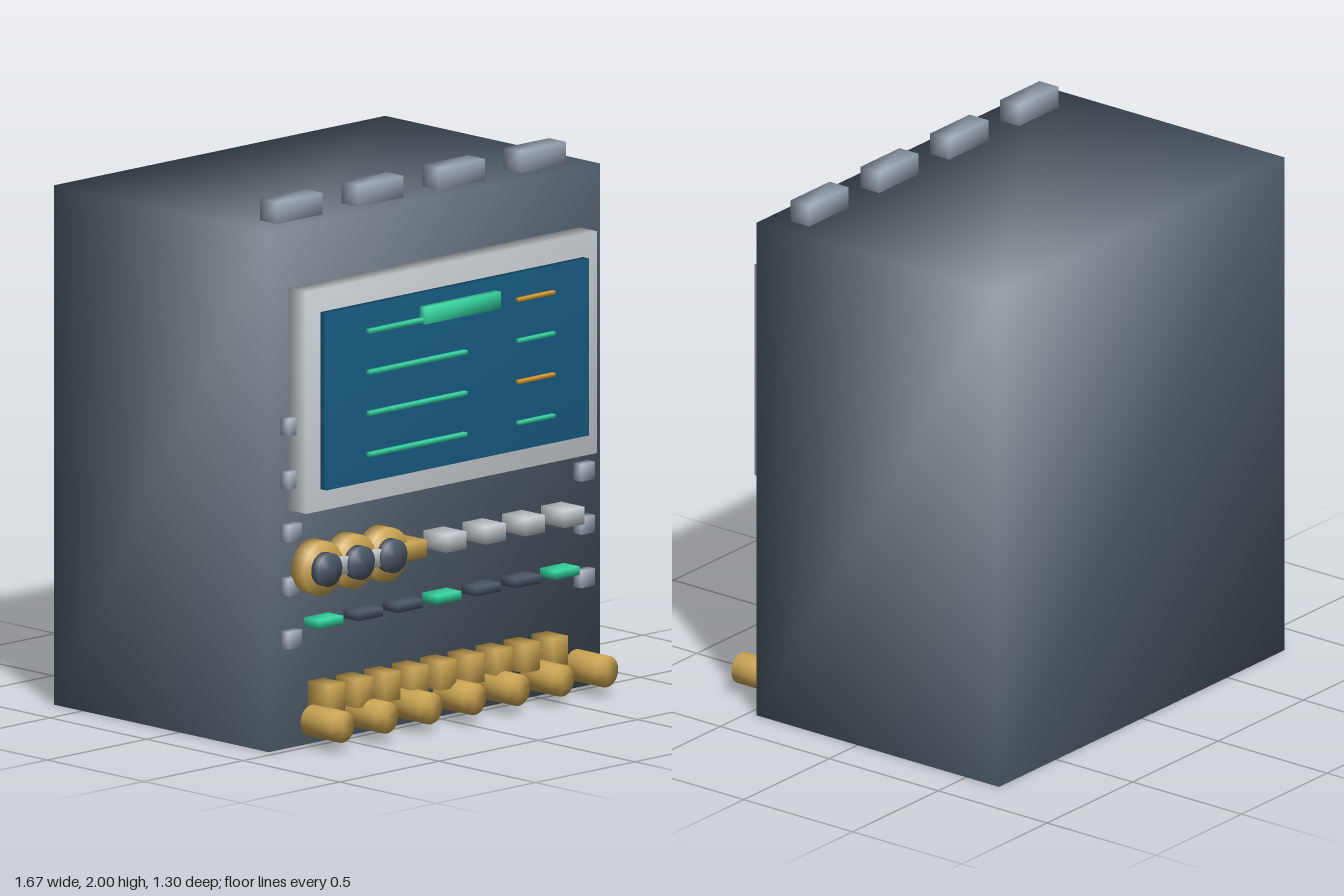
import * as THREE from 'three';
import { mergeVertices } from 'three/addons/utils/BufferGeometryUtils.js';

const mat = (name, color) => {
  const m = new THREE.MeshStandardMaterial({ color });
  m.name = name;
  return m;
};

// Welds all corners so the normals run smoothly over the edges
function weld(geometry) {
  geometry.deleteAttribute('normal');
  geometry.deleteAttribute('uv');
  const g = mergeVertices(geometry, 1e-4);
  g.computeVertexNormals();
  return g;
}

export function createModel() {
  const model = new THREE.Group();
  const slate = mat('slate', 0x52606d);
  const darkSlate = mat('darkSlate', 0x4b5767);
  const steel = mat('steel', 0x929eac);
  const silver = mat('silver', 0xc8cdd1);
  const blue = mat('screenBlue', 0x175a80);
  const green = mat('green', 0x34d3a0);
  const amber = mat('amber', 0xd59a35);
  const brass = mat('brass', 0xcba552);

  const add = (name, geometry, material, x, y, z) => {
    const mesh = new THREE.Mesh(weld(geometry), material);
    mesh.name = name;
    mesh.position.set(x, y, z);
    model.add(mesh);
  };
  // Box centred on x, y and spanning z0 to z1
  const box = (name, material, x, y, w, h, z0, z1) =>
    add(name, new THREE.BoxGeometry(w, h, z1 - z0), material, x, y, (z0 + z1) / 2);
  // Cylinder lying along z from z0 to z1
  const disc = (name, material, x, y, r, z0, z1) =>
    add(name, new THREE.CylinderGeometry(r, r, z1 - z0, 24).rotateX(Math.PI / 2),
      material, x, y, (z0 + z1) / 2);

  const FRONT = 0.463;

  // Cabinet and the tabs on its roof
  box('cabinet', slate, 0, 0.96, 1.67, 1.92, -0.65, FRONT);
  for (let i = 0; i < 4; i++) {
    box('roofTab', steel, -0.595 + i * 0.409, 1.955, 0.23, 0.09, 0.29, 0.377);
  }

  // Display with its text bars
  box('displayFrame', silver, -0.002, 1.29, 1.465, 0.82, FRONT, 0.555);
  box('screen', blue, -0.002, 1.288, 1.322, 0.655, 0.55, 0.585);
  box('titleBar', green, -0.002, 1.538, 0.38, 0.063, 0.58, 0.615);
  for (let i = 0; i < 4; i++) {
    const y = 1.52 - i * 0.152;
    box('longLine', green, -0.217, y, 0.49, 0.016, 0.583, 0.606);
    box('shortLine', i % 2 ? green : amber, 0.383, y, 0.182, 0.014, 0.583, 0.602);
  }

  // Fasteners down both edges of the front
  for (let i = 0; i < 5; i++) {
    for (const x of [-0.741, 0.735]) {
      box('fastener', steel, x, 0.408 + i * 0.197, 0.07, 0.064, FRONT, 0.504);
    }
  }

  // Dials: brass ring with a dark cap
  for (let i = 0; i < 3; i++) {
    const x = -0.659 + i * 0.164;
    disc('dialRing', brass, x, 0.668, 0.1, 0.5, 0.566);
    disc('dialCap', darkSlate, x, 0.668, 0.062, 0.562, 0.6);
  }

  // Row of switches and row of indicators
  for (let i = 0; i < 7; i++) {
    const x = -0.6 + i * 0.198;
    box('switch', i === 2 ? brass : silver, x, 0.668, 0.1, 0.064, FRONT, 0.584);
    box('indicator', i % 3 ? darkSlate : green, x + 0.004, 0.455, 0.122, 0.032, FRONT, 0.543);
  }

  // Brass terminals and cable glands along the bottom
  for (let i = 0; i < 9; i++) {
    box('terminal', brass, -0.597 + i * 0.1405, 0.18, 0.078, 0.106, FRONT, 0.573);
  }
  for (let i = 0; i < 7; i++) {
    disc('cableGland', brass, -0.643 + i * 0.2215, 0.093, 0.058, 0.49, 0.65);
  }

  return model;
}
